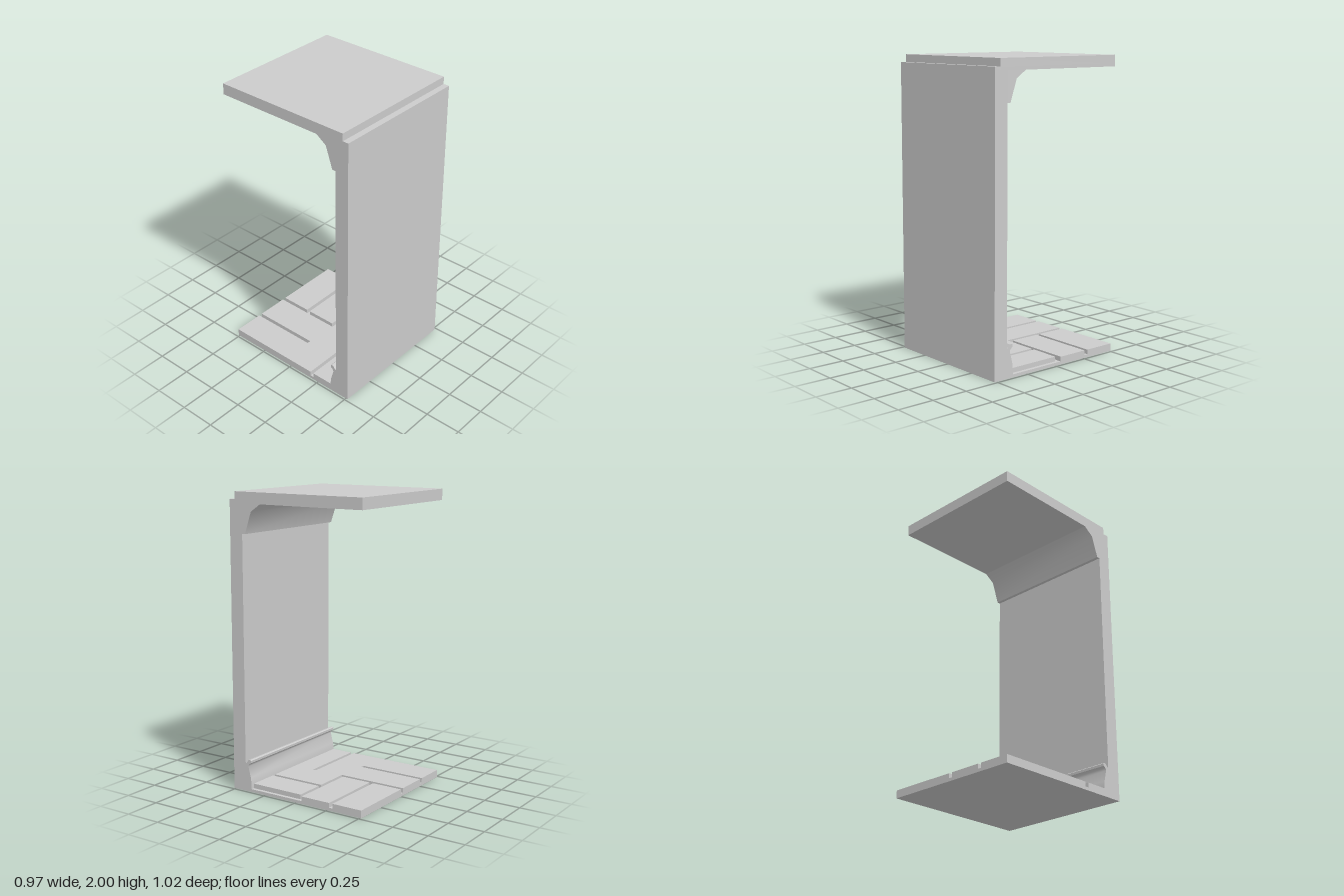
import * as THREE from 'three';
import { toCreasedNormals } from 'three/addons/utils/BufferGeometryUtils.js';

const W = 0.97, X = W / 2;      // width along x
const BACK = -0.51, FOOT = 0.365; // floor extent in z
const BASE = 0.02, TOP = 0.052;   // floor slab and tile heights

const material = new THREE.MeshStandardMaterial({ color: 0xcccccc });

function add(group, name, geometry) {
  const mesh = new THREE.Mesh(geometry, material);
  mesh.name = name;
  group.add(mesh);
}

// Extrudes a (z, y) profile across the whole width
function profile(points) {
  const shape = new THREE.Shape(points.map(([z, y]) => new THREE.Vector2(z, y)));
  const geo = new THREE.ExtrudeGeometry(shape, { depth: W, bevelEnabled: false });
  geo.rotateY(-Math.PI / 2).translate(X, 0, 0);
  return toCreasedNormals(geo, 0.7);
}

// Extrudes an (x, z) outline upward from y0 to y1, with an optional hole
function plate(points, y0, y1, hole) {
  const toVectors = (list) => list.map(([x, z]) => new THREE.Vector2(x, -z));
  const shape = new THREE.Shape(toVectors(points));
  if (hole) shape.holes.push(new THREE.Path(toVectors(hole)));
  const geo = new THREE.ExtrudeGeometry(shape, { depth: y1 - y0, bevelEnabled: false });
  return geo.rotateX(-Math.PI / 2).translate(0, y0, 0);
}

const rect = (x0, x1, z0, z1) => [[x0, z0], [x1, z0], [x1, z1], [x0, z1]];

export function createModel() {
  const model = new THREE.Group();
  model.name = 'roomSection';

  // Wall, slightly leaning, with a ledge in front of the ceiling
  add(model, 'wall', profile([
    [0.413, 0], [0.513, 0], [0.507, 1.95], [0.465, 1.95], [0.465, 1.925], [0.408, 1.925],
  ]));

  // Baseboard with a rounded bead on top
  add(model, 'baseboard', profile([
    [0.413, 0], [FOOT, 0], [FOOT, 0.06], [0.37, 0.1], [0.39, 0.175], [0.383, 0.19],
    [0.368, 0.2], [0.367, 0.216], [0.374, 0.222], [0.388, 0.22], [0.402, 0.2], [0.413, 0.2],
  ]));

  // Cove moulding between wall and ceiling
  add(model, 'coveMoulding', profile([
    [0.409, 1.73], [0.409, 1.925], [0.262, 1.925], [0.335, 1.875], [0.385, 1.73],
  ]));

  // Ceiling with a shallow recessed panel underneath
  add(model, 'ceilingSlab', plate(rect(-X, X, BACK, 0.465), 1.945, 2));
  add(model, 'ceilingFrame', plate(rect(-X, X, BACK, 0.465), 1.925, 1.945,
    rect(-X + 0.053, X - 0.053, BACK + 0.055, 0.265)));

  // Floor slab, visible at the bottom of the grooves
  add(model, 'floorSlab', plate(rect(-X, X, BACK, FOOT), 0, BASE));

  // Main paving with grooves cut into its outline
  add(model, 'mainPaving', plate([
    [-X, BACK], [-0.273, BACK], [-0.273, -0.035], [-0.247, -0.035], [-0.247, BACK],
    [-0.023, BACK], [-0.023, -0.022], [0.227, -0.022], [0.227, FOOT],
    [-X, FOOT], [-X, 0.21], [-0.005, 0.21], [-0.005, 0.184], [-X, 0.184],
  ], BASE, TOP));

  // Separate paving stones
  const stones = [
    rect(0.003, X, BACK, -0.291),
    rect(0.003, X, -0.265, -0.048),
    rect(0.253, X - 0.025, -0.022, FOOT),
  ];
  stones.forEach((outline, i) => add(model, `pavingStone${i + 1}`, plate(outline, BASE, TOP)));

  return model;
}
